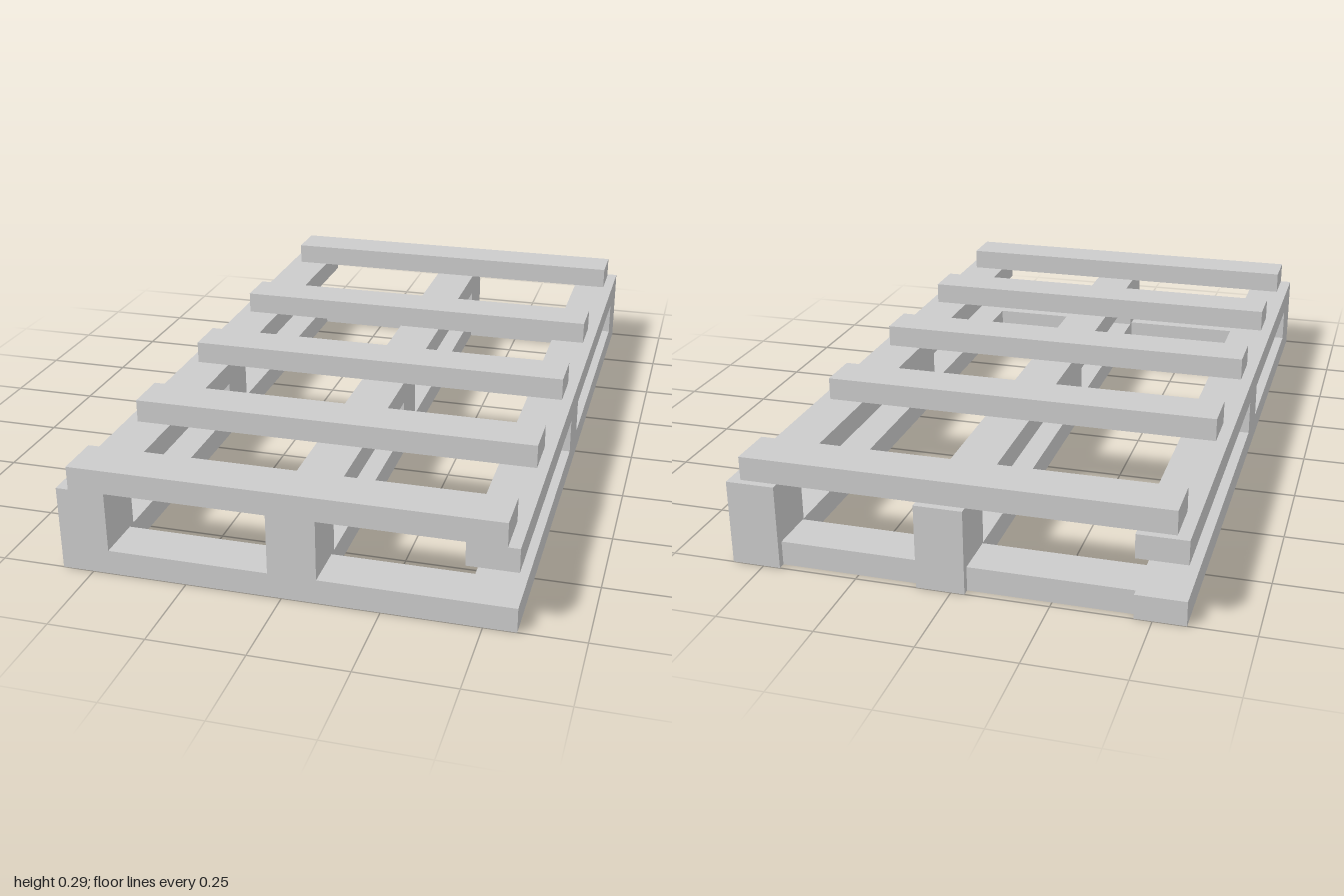
import * as THREE from 'three';

export function createModel() {
  const pallet = new THREE.Group();
  pallet.name = 'pallet';
  const material = new THREE.MeshStandardMaterial({ color: 0xcccccc, flatShading: true });

  // Box given by its [min, max] range on each axis
  const plank = (name, x, y, z) => {
    const mesh = new THREE.Mesh(
      new THREE.BoxGeometry(x[1] - x[0], y[1] - y[0], z[1] - z[0]), material);
    mesh.position.set((x[0] + x[1]) / 2, (y[0] + y[1]) / 2, (z[0] + z[1]) / 2);
    mesh.name = name;
    pallet.add(mesh);
  };

  // Layer heights
  const bottomY = [0, 0.065];
  const blockY = [0.065, 0.162];
  const railY = [0.162, 0.225];
  const slatY = [0.225, 0.288];

  // Three lengthwise lines; the middle one sits slightly off centre
  const lines = [
    { side: 'right', x: [-0.583, -0.455] },
    { side: 'middle', x: [-0.035, 0.09] },
    { side: 'left', x: [0.455, 0.583] },
  ];
  const blockRows = { front: [0.85, 1], centre: [0, 0.14], back: [-1, -0.85] };
  // Two opposite corners have no block
  const missing = ['left front', 'right back'];

  for (const { side, x } of lines) {
    plank(`${side} bottom runner`, x, bottomY, [-1, 1]);
    plank(`${side} top rail`, x, railY, [-1, 1]);
    for (const [row, z] of Object.entries(blockRows)) {
      if (!missing.includes(`${side} ${row}`)) plank(`${side} ${row} block`, x, blockY, z);
    }
  }

  // Bottom end boards fill the gaps between runners
  for (let i = 0; i < 2; i++) {
    const gap = [lines[i].x[1], lines[i + 1].x[0]];
    plank('front bottom board', gap, bottomY, [0.872, 1]);
    plank('back bottom board', gap, bottomY, [-0.98, -0.855]);
  }

  // Deck slats at uneven spacing
  for (const z of [0.937, 0.522, 0.08, -0.375, -0.918]) {
    plank('deck slat', [-0.55, 0.553], slatY, [z - 0.063, z + 0.063]);
  }

  return pallet;
}
